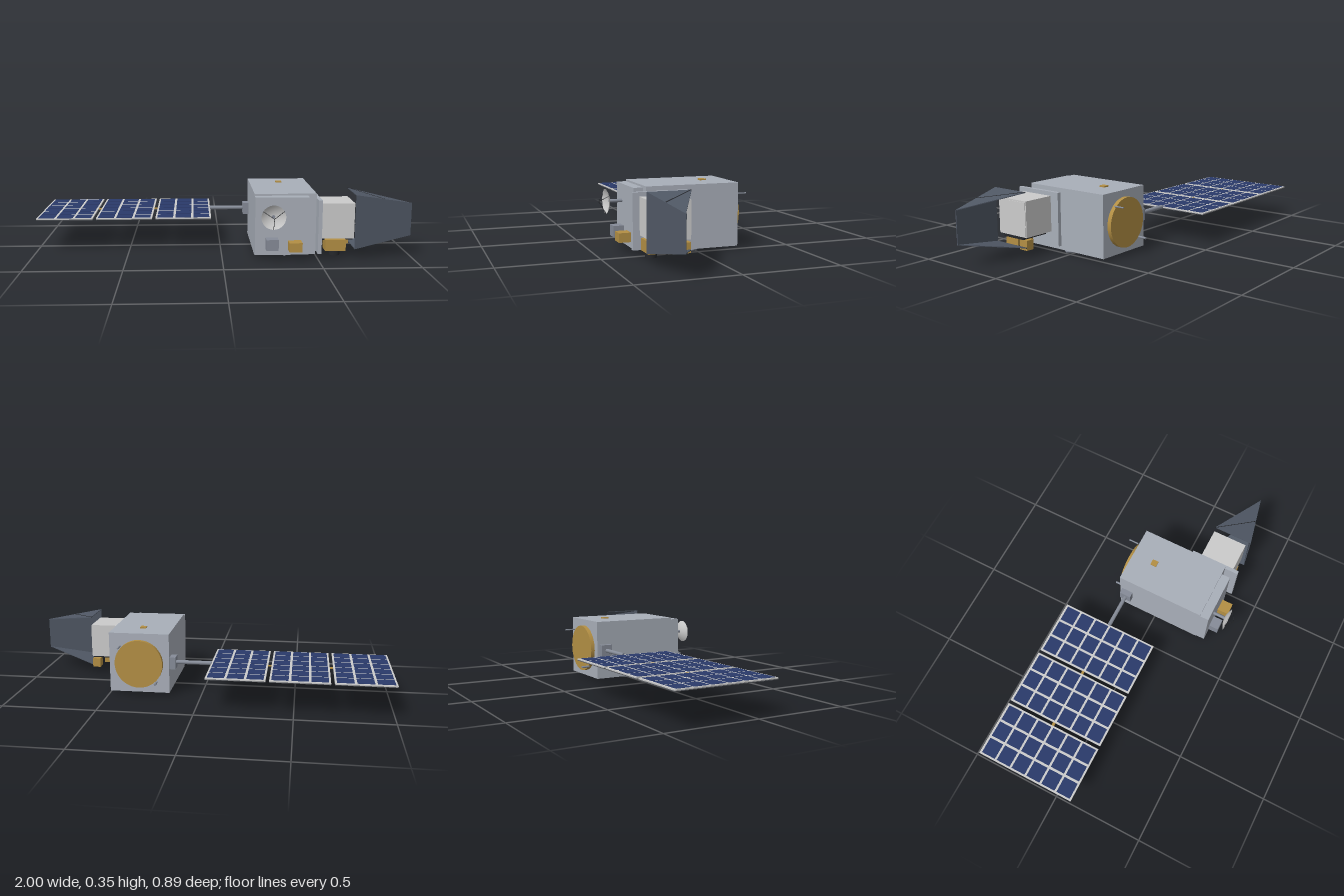
import * as THREE from 'three';

const mat = (color) => new THREE.MeshStandardMaterial({ color, side: THREE.DoubleSide });
const hull = mat(0xa9afb9), grey = mat(0xcccccc), steel = mat(0x868c98), gold = mat(0xb38f44);
const dark = mat(0x505865), black = mat(0x25272b), blue = mat(0x2a3a6a), backing = mat(0x5a5d62);

export function createModel() {
  const root = new THREE.Group();
  const add = (name, geo, material, parent = root) => {
    const m = new THREE.Mesh(geo, material);
    m.name = name;
    parent.add(m);
    return m;
  };
  // Box given by its minimum and maximum on each axis
  const box = (name, material, x0, x1, y0, y1, z0, z1, parent) => {
    const m = add(name, new THREE.BoxGeometry(x1 - x0, y1 - y0, z1 - z0), material, parent);
    m.position.set((x0 + x1) / 2, (y0 + y1) / 2, (z0 + z1) / 2);
    return m;
  };
  // Round bar between two points
  const rod = (name, material, a, b, r, sides = 12, parent = root) => {
    const p = new THREE.Vector3(...a), q = new THREE.Vector3(...b);
    const d = q.clone().sub(p);
    const m = add(name, new THREE.CylinderGeometry(r, r, d.length(), sides), material, parent);
    m.position.copy(p).add(q).multiplyScalar(0.5);
    m.quaternion.setFromUnitVectors(new THREE.Vector3(0, 1, 0), d.normalize());
    return m;
  };
  // Thin plate from a flat polygon, thickened along an offset
  const plate = (name, material, corners, offset) => {
    const n = corners.length, pos = [], idx = [];
    corners.forEach((c) => pos.push(...c));
    corners.forEach((c) => pos.push(...c.map((v, i) => v + offset[i])));
    for (let i = 1; i < n - 1; i++) idx.push(0, i, i + 1, n, n + i + 1, n + i);
    for (let i = 0; i < n; i++) {
      const j = (i + 1) % n;
      idx.push(i, n + i, j, j, n + i, n + j);
    }
    const g = new THREE.BufferGeometry();
    g.setAttribute('position', new THREE.Float32BufferAttribute(pos, 3));
    g.setIndex(idx);
    const flat = g.toNonIndexed();
    flat.computeVertexNormals();
    return add(name, flat, material);
  };

  // Main body and its cover panels
  box('body', hull, 0.17, 0.495, 0.015, 0.34, -0.22, 0.27);
  box('frontPanel', hull, 0.17, 0.45, 0.025, 0.33, 0.27, 0.32);
  box('sidePlate', hull, 0.495, 0.515, 0.035, 0.317, 0.065, 0.345);
  box('topSensor', gold, 0.317, 0.35, 0.34, 0.347, -0.106, -0.072);
  box('bottomSensor', gold, 0.317, 0.35, 0.001, 0.015, -0.106, -0.072);
  plate('bottomAntenna', steel,
    [[0.49, 0.003, 0.037], [0.335, 0.003, 0.26], [0.18, 0.003, 0.037], [0.335, 0.003, -0.186]], [0, 0.005, 0]);

  // Boxes on the front
  box('frontGreyBox', steel, 0.225, 0.288, 0.06, 0.118, 0.32, 0.374);
  box('frontGoldBox', gold, 0.342, 0.41, 0.055, 0.103, 0.32, 0.383);

  // Dish antenna with feed tripod
  const dish = new THREE.Group();
  dish.name = 'dishAntenna';
  dish.position.set(0.257, 0.243, 0);
  root.add(dish);
  const profile = [];
  for (let i = 0; i <= 8; i++) {
    const r = 0.063 * i / 8;
    profile.push(new THREE.Vector2(r, 0.385 + 0.021 * (r / 0.063) ** 2));
  }
  add('dishBowl', new THREE.LatheGeometry(profile, 32), grey, dish).rotation.x = Math.PI / 2;
  rod('dishStem', steel, [0, 0, 0.32], [0, 0, 0.387], 0.009, 16, dish);
  for (let i = 0; i < 3; i++) {
    const a = -Math.PI / 2 + i * 2 * Math.PI / 3;
    rod('feedStrut', black, [0.062 * Math.cos(a), 0.062 * Math.sin(a), 0.405], [0, 0, 0.442], 0.0015, 6, dish);
  }

  // Instrument on the left side with its sunshade
  box('instrument', grey, 0.515, 0.69, 0.108, 0.295, 0.115, 0.31);
  box('instrumentCap', grey, 0.688, 0.693, 0.113, 0.287, 0.12, 0.247);
  plate('shadeFront', dark,
    [[0.69, 0.055, 0.335], [1, 0.112, 0.268], [1, 0.286, 0.268], [0.69, 0.342, 0.335]], [-0.001, 0, -0.004]);
  plate('shadeTop', dark, [[0.69, 0.342, 0.335], [1, 0.286, 0.268], [0.69, 0.342, 0.115]], [0, -0.004, 0]);
  plate('shadeBottom', dark, [[0.69, 0.055, 0.335], [1, 0.112, 0.268], [0.69, 0.055, 0.115]], [0, 0.004, 0]);
  for (const y of [0.342, 0.055]) {
    const mid = y > 0.2 ? 0.314 : 0.0835;
    rod('shadeRib', black, [0.69, y, 0.117], [0.845, mid, 0.3], 0.002, 6);
  }

  // Smaller instruments beneath it
  box('lowerMount', black, 0.53, 0.69, 0.094, 0.108, 0.14, 0.28);
  box('cameraBox', gold, 0.54, 0.648, 0.04, 0.1, 0.226, 0.312);
  rod('cameraLens', black, [0.593, 0.015, 0.28], [0.593, 0.045, 0.28], 0.028, 24);
  box('sideSensor', gold, 0.645, 0.69, 0.042, 0.094, 0.115, 0.165);

  // Disc and rod aerials on the back
  rod('rearDisc', gold, [0.333, 0.175, -0.22], [0.333, 0.175, -0.242], 0.13, 40);
  rod('rearAerial', steel, [0.43, 0.274, -0.24], [0.43, 0.274, -0.296], 0.004);
  rod('rearAerial', steel, [0.236, 0.079, -0.24], [0.236, 0.079, -0.286], 0.006);

  // Solar wing: three hinged panels of 3 by 6 cells
  box('wingMount', steel, 0.138, 0.17, 0.145, 0.21, -0.207, -0.142);
  rod('wingBoom', steel, [0.14, 0.178, -0.174], [-0.055, 0.178, -0.174], 0.011, 16);
  for (const x0 of [-1, -0.678, -0.356]) {
    const panel = new THREE.Group();
    panel.name = 'solarPanel';
    root.add(panel);
    const x1 = x0 + 0.304;
    box('panelFrame', grey, x0, x1, 0.174, 0.18, -0.445, 0.105, panel);
    box('panelBack', backing, x0, x1, 0.17, 0.174, -0.445, 0.105, panel);
    for (let i = 0; i < 3; i++) for (let j = 0; j < 6; j++) {
      const cx = x0 + 0.053 + i * 0.099, cz = -0.394 + j * 0.09;
      box('solarCell', blue, cx - 0.043, cx + 0.043, 0.18, 0.1815, cz - 0.039, cz + 0.039, panel);
    }
  }
  for (const x of [-0.687, -0.365]) box('panelHinge', gold, x - 0.01, x + 0.01, 0.173, 0.179, -0.18, -0.166);

  return root;
}
